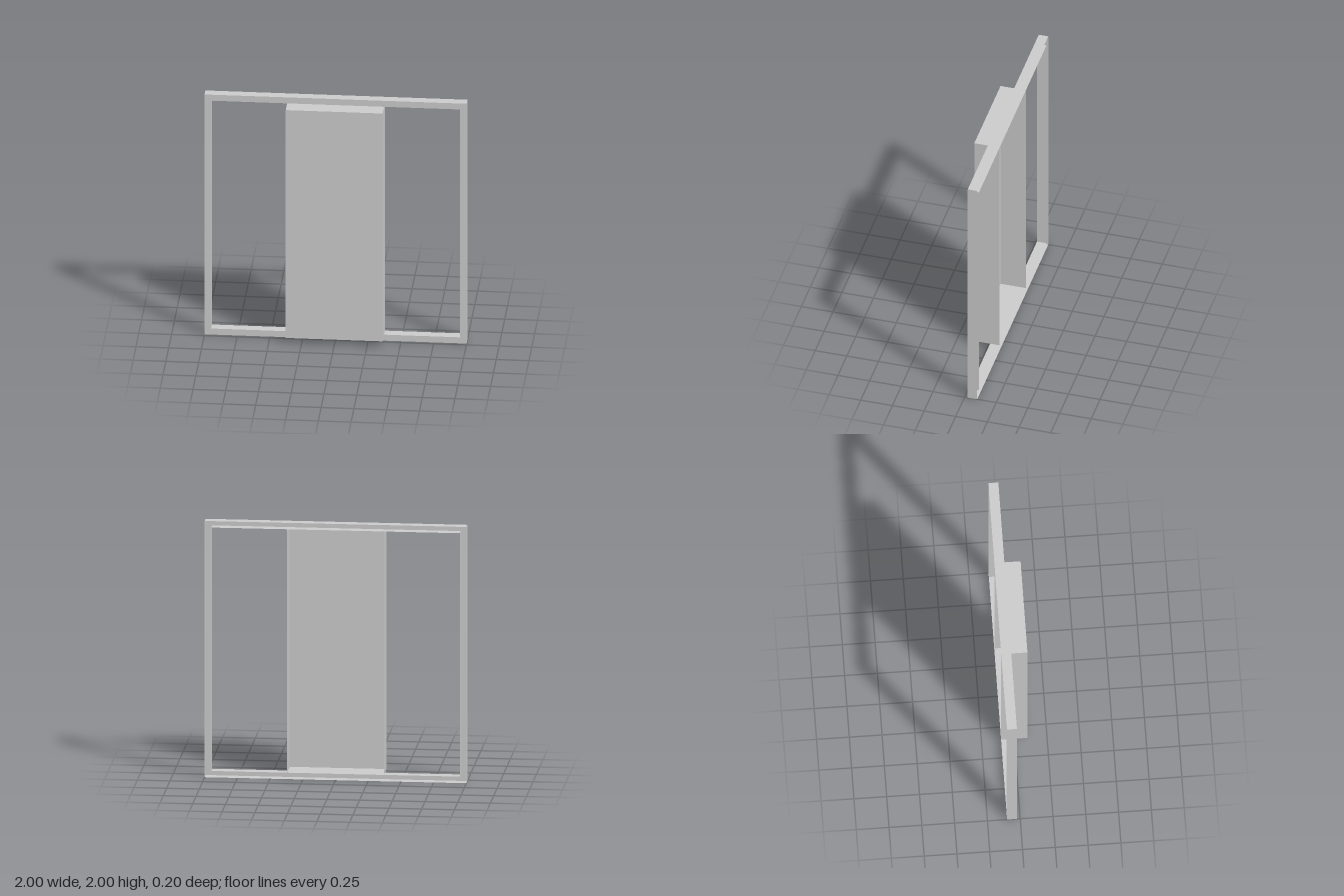
import * as THREE from 'three';

const material = new THREE.MeshStandardMaterial({ color: 0xcccccc, side: THREE.DoubleSide });

const BACK = -0.1, FRAME_FRONT = -0.025, FRONT = 0.1; // z planes
const RAIL = 0.05;                                    // rail width
const HALF = 0.37;                                    // half width of the tray

function add(group, name, geometry, x, y, z) {
  const mesh = new THREE.Mesh(geometry, material);
  mesh.name = name;
  mesh.position.set(x, y, z);
  group.add(mesh);
}

// Thin wall facing sideways (dir = +1 or -1 along x), centred on y = 1
function sideWall(group, name, x, height, z0, z1, dir) {
  const g = new THREE.PlaneGeometry(z1 - z0, height).rotateY(dir * Math.PI / 2);
  add(group, name, g, x, 1, (z0 + z1) / 2);
}

// Thin wall facing up or down (dir = +1 or -1 along y), centred on x = 0
function levelWall(group, name, y, width, z0, z1, dir) {
  const g = new THREE.PlaneGeometry(width, z1 - z0).rotateX(-dir * Math.PI / 2);
  add(group, name, g, 0, y, (z0 + z1) / 2);
}

function rectangle(target, half) {
  target.moveTo(-half, -half);
  target.lineTo(half, -half);
  target.lineTo(half, half);
  target.lineTo(-half, half);
  target.closePath();
  return target;
}

export function createModel() {
  const model = new THREE.Group();
  model.name = 'framedTray';

  // Square frame: hollow channel rails, open at the back
  const frame = new THREE.Group();
  frame.name = 'frame';
  const inner = 1 - RAIL;
  const ring = rectangle(new THREE.Shape(), 1);
  ring.holes.push(rectangle(new THREE.Path(), inner));
  add(frame, 'frameFace', new THREE.ShapeGeometry(ring), 0, 1, FRAME_FRONT);
  for (const s of [-1, 1]) {
    sideWall(frame, 'frameOuterSide', s, 2, BACK, FRAME_FRONT, s);
    sideWall(frame, 'frameInnerSide', s * inner, 2 * inner, BACK, FRAME_FRONT, -s);
    levelWall(frame, 'frameOuterLevel', 1 + s, 2, BACK, FRAME_FRONT, s);
    levelWall(frame, 'frameInnerLevel', 1 + s * inner, 2 * inner, BACK, FRAME_FRONT, -s);
  }

  // Tall central tray: closed at the front, open at the back,
  // its ends continuing the inner walls of the frame
  const tray = new THREE.Group();
  tray.name = 'tray';
  add(tray, 'trayFront', new THREE.PlaneGeometry(2 * HALF, 2 * inner), 0, 1, FRONT);
  for (const s of [-1, 1]) {
    sideWall(tray, 'traySide', s * HALF, 2 * inner, BACK, FRONT, s);
    levelWall(tray, 'trayEnd', 1 + s * inner, 2 * HALF, FRAME_FRONT, FRONT, s);
  }

  model.add(frame, tray);
  return model;
}
